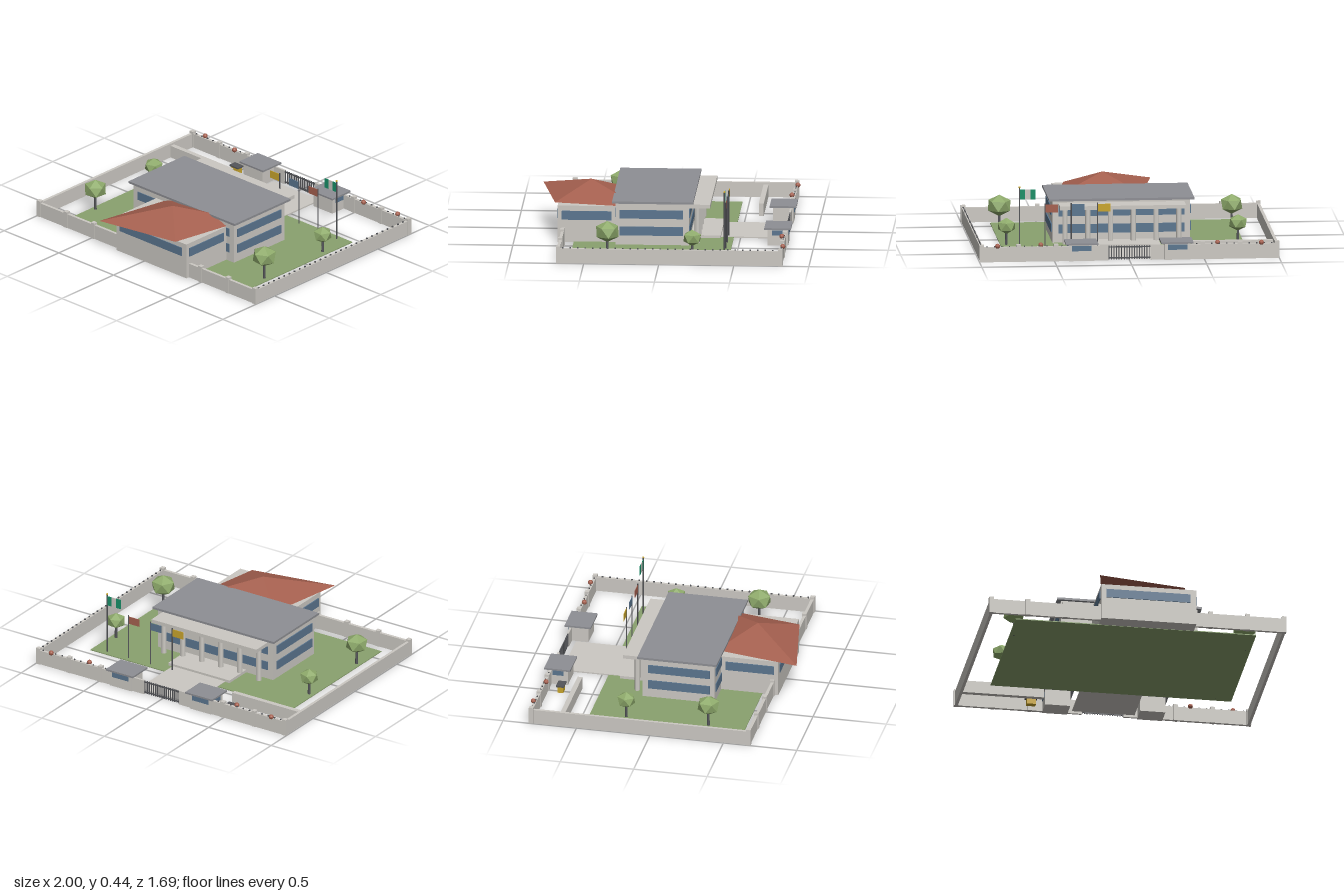
import * as THREE from 'three';

const mat = (name, color) => {
  const m = new THREE.MeshStandardMaterial({ color, flatShading: true });
  m.name = name;
  return m;
};

export function createModel() {
  const model = new THREE.Group();
  model.name = 'walledCompound';
  const stone = mat('pale stone', 0xccc9c3);
  const slate = mat('grey roof', 0x8e8f94);
  const clay = mat('red clay', 0xa5604f);
  const lawn = mat('lawn green', 0x8aa26e);
  const leaf = mat('leaf green', 0x8fab6c);
  const glass = mat('window blue', 0x5b7690);
  const flagGreen = mat('flag green', 0x189068);
  const gold = mat('gold', 0xc9a52c);
  const dark = mat('dark metal', 0x55565a);

  const add = (name, geo, m, x = 0, y = 0, z = 0, parent = model) => {
    const mesh = new THREE.Mesh(geo, m);
    mesh.name = name;
    mesh.position.set(x, y, z);
    parent.add(mesh);
    return mesh;
  };
  // Box given by its limits on each axis
  const box = (name, m, x0, x1, y0, y1, z0, z1, parent) =>
    add(name, new THREE.BoxGeometry(x1 - x0, y1 - y0, z1 - z0), m,
      (x0 + x1) / 2, (y0 + y1) / 2, (z0 + z1) / 2, parent);
  const group = (name) => {
    const g = new THREE.Group();
    g.name = name;
    model.add(g);
    return g;
  };

  // Grounds
  box('lawn', lawn, -0.81, 0.81, 0, 0.006, -0.455, 0.6);
  box('driveway', stone, -0.21, 0.21, 0.001, 0.01, -0.77, -0.3);
  box('entranceStep', stone, -0.245, 0.245, 0.002, 0.025, -0.37, -0.17);

  // Main building with two bands of windows on every side
  const main = group('mainBuilding');
  box('mainBody', stone, -0.46, 0.46, 0.002, 0.29, -0.17, 0.32, main);
  box('mainRoof', slate, -0.485, 0.485, 0.29, 0.305, -0.2, 0.34, main);
  for (const [y0, y1] of [[0.07, 0.13], [0.185, 0.243]]) {
    for (const s of [-1, 1]) {
      const x = s * 0.4625;
      box('sideWindow', glass, x - 0.0045, x + 0.0045, y0, y1, -0.13, 0.29, main);
    }
    box('frontWindow', glass, -0.42, 0.42, y0, y1, 0.316, 0.325, main);
    box('backWindow', glass, -0.42, 0.42, y0, y1, -0.175, -0.166, main);
  }

  // Entrance canopy on columns
  const portico = group('portico');
  box('canopy', stone, -0.42, 0.42, 0.25, 0.275, -0.31, -0.17, portico);
  for (let i = 0; i < 6; i++) {
    add('column', new THREE.CylinderGeometry(0.018, 0.018, 0.248, 10), stone,
      -0.38 + i * 0.152, 0.126, -0.222, portico);
  }

  // Hall with a skewed pyramid roof
  const hall = group('hall');
  box('hallBody', stone, -0.25, 0.39, 0.002, 0.25, 0.3, 0.708, hall);
  box('hallFrontWindow', glass, -0.215, 0.35, 0.155, 0.215, 0.705, 0.714, hall);
  for (const x of [-0.2525, 0.3925]) {
    box('hallSideWindow', glass, x - 0.0045, x + 0.0045, 0.155, 0.215, 0.35, 0.68, hall);
  }
  const eave = [[-0.28, 0.84], [0.31, 0.73], [0.42, 0.16], [-0.17, 0.27]]
    .map(([x, z]) => [x, 0.252, z]);
  const faces = [];
  eave.forEach((p, i) => faces.push(p, eave[(i + 1) % 4], [0.07, 0.36, 0.5]));
  faces.push(eave[0], eave[3], eave[2], eave[0], eave[2], eave[1]);
  const roofGeo = new THREE.BufferGeometry();
  roofGeo.setAttribute('position', new THREE.Float32BufferAttribute(faces.flat(), 3));
  roofGeo.computeVertexNormals();
  add('hallRoof', roofGeo, clay, 0, 0, 0, hall);

  // Perimeter walls and posts
  const walls = group('perimeterWall');
  for (const s of [-1, 1]) {
    const span = (a, b) => [Math.min(s * a, s * b), Math.max(s * a, s * b)];
    box('sideWall', stone, ...span(0.975, 0.995), 0, 0.1, -0.81, 0.67, walls);
    box('frontWall', stone, ...span(s > 0 ? 0.38 : 0.24, 0.985), 0, 0.1, 0.66, 0.68, walls);
    box('backWall', stone, ...span(0.4, 0.985), 0, 0.1, -0.82, -0.8, walls);
    box('gateWall', stone, ...span(0.14, 0.24), 0, 0.1, -0.817, -0.803, walls);
    for (const x of [0.985, 0.74, 0.49]) {
      for (const z of [-0.81, 0.67]) {
        box('wallPost', stone, s * x - 0.015, s * x + 0.015, 0, 0.115, z - 0.015, z + 0.015, walls);
      }
    }
    // Round ornaments on the back wall
    for (const [x, z] of [[0.88, -0.82], [0.59, -0.797]]) {
      add('wallBall', new THREE.IcosahedronGeometry(0.017, 1), clay, s * x, 0.108, z, walls);
    }
    // Gatehouses
    const house = group('gatehouse');
    box('gatehouseBody', stone, ...span(0.235, 0.405), 0, 0.11, -0.828, -0.69, house);
    box('gatehouseRoof', slate, ...span(0.21, 0.425), 0.11, 0.122, -0.847, -0.67, house);
    box('gatehouseBackWindow', glass, ...span(0.255, 0.385), 0.068, 0.103, -0.833, -0.825, house);
    box('gatehouseSideWindow', glass, ...span(0.403, 0.409), 0.068, 0.103, -0.795, -0.72, house);
    // Short spikes along the back wall
    for (let x = 0.45; x < 0.97; x += 0.05) {
      box('wallSpike', dark, s * x - 0.004, s * x + 0.004, 0.1, 0.107, -0.814, -0.806, walls);
    }
  }
  box('wallPost', stone, -0.265, -0.235, 0, 0.115, 0.655, 0.685, walls);
  for (let z = -0.76; z < 0.65; z += 0.05) {
    box('wallSpike', dark, 0.981, 0.989, 0.1, 0.108, z - 0.005, z + 0.005, walls);
  }

  // Barred gate
  const gate = group('gate');
  for (const y of [0.012, 0.085]) box('gateRail', dark, -0.14, 0.14, y, y + 0.008, -0.814, -0.806, gate);
  for (let i = 0; i <= 16; i++) {
    const x = -0.136 + i * 0.017;
    box('gateBar', dark, x - 0.003, x + 0.003, 0.005, 0.098, -0.813, -0.807, gate);
  }

  // Freestanding sign wall and small generator
  box('signWall', stone, -0.985, -0.43, 0, 0.085, -0.618, -0.585);
  box('generatorBody', gold, -0.525, -0.465, 0, 0.045, -0.735, -0.695);
  box('generatorTop', dark, -0.535, -0.455, 0.045, 0.055, -0.742, -0.688);

  // Trees: pointed low-poly crowns on thin trunks
  const tilt = Math.atan(2 / (1 + Math.sqrt(5)));
  for (const [x, z, r, y] of [[-0.775, -0.21, 0.066, 0.132], [0.77, -0.21, 0.066, 0.132],
    [-0.78, 0.35, 0.08, 0.155], [0.77, 0.355, 0.086, 0.168]]) {
    const tree = group('tree');
    add('trunk', new THREE.CylinderGeometry(0.007, 0.01, y, 6), dark, x, y / 2, z, tree);
    const crown = new THREE.IcosahedronGeometry(r, 0);
    crown.rotateZ(tilt).rotateY(x * 3 + z).scale(1, 0.84, 1);
    add('crown', crown, leaf, x, y, z, tree);
  }

  // Flags on poles
  const flags = group('flags');
  const pole = (x, h) => add('flagPole', new THREE.CylinderGeometry(0.004, 0.004, h, 8), dark, x, h / 2, -0.42, flags);
  const cloth = (m, x0, x1, y0, y1) => box('flag', m, x0, x1, y0, y1, -0.422, -0.418, flags);
  pole(0.7, 0.428);
  add('poleTip', new THREE.SphereGeometry(0.007, 8, 6), gold, 0.7, 0.43, -0.42, flags);
  [flagGreen, stone, flagGreen].forEach((m, i) =>
    cloth(m, 0.592 + i * 0.036, 0.628 + i * 0.036, 0.348, 0.415));
  [[0.53, clay], [0.355, glass], [0.18, gold]].forEach(([x, m]) => {
    pole(x, 0.318);
    cloth(m, x - 0.088, x - 0.004, 0.258, 0.31);
  });

  return model;
}
